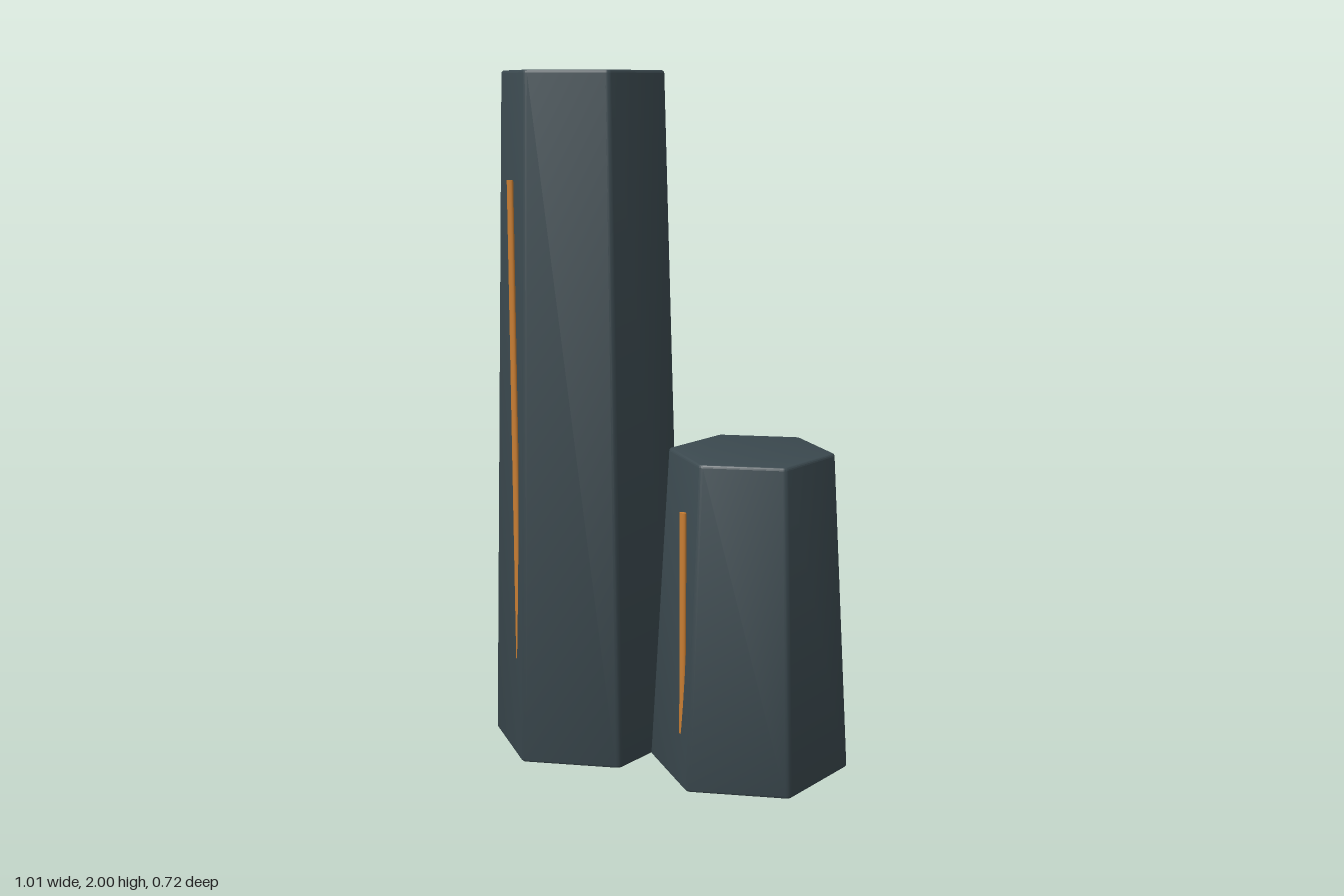
import * as THREE from 'three';
import { toCreasedNormals } from 'three/addons/utils/BufferGeometryUtils.js';

const BOTTOM_R = 0.2935, TOP_R = 0.2385, BEVEL = 0.008;

// Hexagon of radius 1 unit r with slightly rounded corners, points along z
function hexShape(r, rounding) {
  const corners = [];
  for (let i = 0; i < 6; i++) {
    const a = Math.PI / 2 + i * Math.PI / 3;
    corners.push(new THREE.Vector2(r * Math.cos(a), r * Math.sin(a)));
  }
  const shape = new THREE.Shape();
  corners.forEach((c, i) => {
    const from = c.clone().lerp(corners[(i + 5) % 6], rounding / r);
    const to = c.clone().lerp(corners[(i + 1) % 6], rounding / r);
    if (i === 0) shape.moveTo(from.x, from.y);
    else shape.lineTo(from.x, from.y);
    shape.quadraticCurveTo(c.x, c.y, to.x, to.y);
  });
  shape.closePath();
  return shape;
}

// Bevelled hexagonal prism, narrowed towards the top
function columnGeometry(height) {
  const geo = new THREE.ExtrudeGeometry(hexShape(BOTTOM_R, 0.012), {
    depth: height - 2 * BEVEL, curveSegments: 3, bevelEnabled: true,
    bevelSize: BEVEL, bevelThickness: BEVEL, bevelOffset: -BEVEL, bevelSegments: 3,
  });
  geo.rotateX(-Math.PI / 2).translate(0, BEVEL, 0);
  const p = geo.attributes.position;
  for (let i = 0; i < p.count; i++) {
    const s = THREE.MathUtils.lerp(1, TOP_R / BOTTOM_R, p.getY(i) / height);
    p.setX(i, p.getX(i) * s);
    p.setZ(i, p.getZ(i) * s);
  }
  return toCreasedNormals(geo, 0.6);
}

export function createModel() {
  const stone = new THREE.MeshStandardMaterial({ color: 0x3b494f });
  stone.name = 'dark slate';
  const amber = new THREE.MeshStandardMaterial({ color: 0xc87d32 });
  amber.name = 'amber';

  const model = new THREE.Group();
  model.name = 'hexagonalColumns';

  const columns = [
    { name: 'tallColumn', x: -0.2525, z: 0.0715, height: 2, from: 0.3, to: 1.7 },
    { name: 'shortColumn', x: 0.2525, z: -0.0715, height: 0.94, from: 0.15, to: 0.8 },
  ];
  for (const c of columns) {
    const group = new THREE.Group();
    group.name = c.name;
    group.position.set(c.x, 0, c.z);

    const body = new THREE.Mesh(columnGeometry(c.height), stone);
    body.name = c.name + 'Body';

    // Upright vein that sinks into the sloping wall lower down
    const vein = new THREE.Mesh(new THREE.CylinderGeometry(0.011, 0.011, c.to - c.from, 12), amber);
    vein.name = c.name + 'Vein';
    vein.scale.z = 0.6;
    vein.position.set(-0.049, (c.from + c.to) / 2, 0.249);

    group.add(body, vein);
    model.add(group);
  }
  return model;
}
